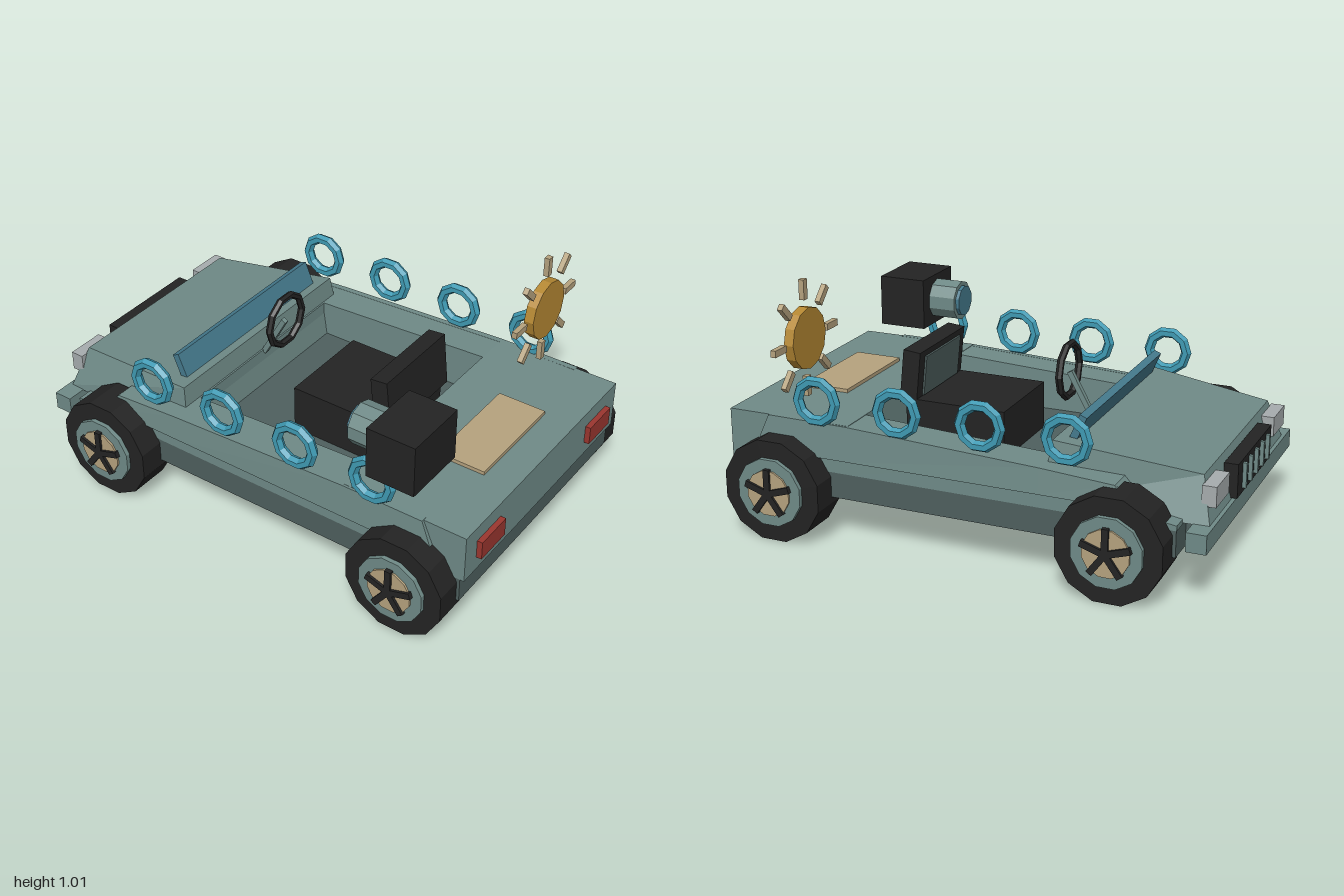
import * as THREE from 'three';

const mat = (name, color) => {
  const m = new THREE.MeshStandardMaterial({ color, flatShading: true });
  m.name = name;
  return m;
};

export function createModel() {
  const car = new THREE.Group();
  car.name = 'car';
  const body = mat('bodyTeal', 0x6f8a87);
  const dark = mat('darkTeal', 0x4e5f5e);
  const black = mat('black', 0x232323);
  const tan = mat('tan', 0xb5a27e);
  const gold = mat('gold', 0xb58833);
  const red = mat('tailRed', 0x9a362f);
  const cyan = mat('ringBlue', 0x3f9ab3);
  const blue = mat('glassBlue', 0x457a8d);
  const grey = mat('lampGrey', 0xa6acae);

  const add = (name, geo, material, parent = car) => {
    const m = new THREE.Mesh(geo, material);
    m.name = name;
    parent.add(m);
    return m;
  };
  // Box given by its limits on each axis
  const box = (name, material, [x0, x1], [y0, y1], [z0, z1], parent = car) => {
    const m = add(name, new THREE.BoxGeometry(x1 - x0, y1 - y0, z1 - z0), material, parent);
    m.position.set((x0 + x1) / 2, (y0 + y1) / 2, (z0 + z1) / 2);
    return m;
  };
  // Skin over convex loops, running from +z to -z, each counterclockwise seen from +z
  const loft = (loops) => {
    const p = [];
    const tri = (a, b, c) => p.push(...a, ...b, ...c);
    const n = loops[0].length, last = loops[loops.length - 1];
    for (let i = 0; i < loops.length - 1; i++) {
      for (let j = 0; j < n; j++) {
        const k = (j + 1) % n;
        const a = loops[i][j], b = loops[i][k], c = loops[i + 1][k], d = loops[i + 1][j];
        tri(a, d, c);
        tri(a, c, b);
      }
    }
    for (let j = 1; j < n - 1; j++) {
      tri(loops[0][0], loops[0][j], loops[0][j + 1]);
      tri(last[0], last[j + 1], last[j]);
    }
    const g = new THREE.BufferGeometry();
    g.setAttribute('position', new THREE.Float32BufferAttribute(p, 3));
    g.computeVertexNormals();
    return g;
  };
  // Symmetric section: half widths, heights and z of the bottom and top edges
  const section = (wb, yb, zb, wt, yt, zt) =>
    [[-wb, yb, zb], [wb, yb, zb], [wt, yt, zt], [-wt, yt, zt]];
  const mirrorLoop = (loop, s) =>
    s > 0 ? loop : loop.map(([x, y, z]) => [-x, y, z]).reverse();

  // Floor tub and upper body
  box('floorTub', dark, [-0.563, 0.563], [0.175, 0.29], [-0.86, 0.96]);
  box('rearDeck', body, [-0.565, 0.565], [0.28, 0.48], [0.455, 0.978]);
  add('nose', loft([
    section(0.565, 0.28, -0.335, 0.565, 0.44, -0.335),
    section(0.565, 0.28, -0.63, 0.565, 0.42, -0.63),
    section(0.565, 0.28, -0.72, 0.565, 0.32, -0.72),
    section(0.565, 0.28, -0.862, 0.565, 0.3, -0.862),
  ]), body);
  add('hood', loft([
    section(0.52, 0.288, -0.32, 0.49, 0.522, -0.355),
    section(0.5, 0.288, -0.963, 0.43, 0.455, -0.915),
  ]), body);
  for (const s of [1, -1]) {
    const rail = (z, top) =>
      mirrorLoop([[0.418, 0.28, z], [0.565, 0.28, z], [0.565, top, z], [0.418, top, z]], s);
    add('sideRail', loft([rail(0.455, 0.478), rail(-0.335, 0.44)]), body);
    // Slanted outer skin of the flank
    const skin = (zb, zt, top) =>
      mirrorLoop([[0.55, 0.34, zb], [0.585, 0.34, zb], [0.575, top, zt], [0.55, top, zt]], s);
    add('sidePanel', loft([
      skin(0.86, 0.8, 0.481), skin(0.46, 0.46, 0.479), skin(-0.335, -0.335, 0.441),
      skin(-0.69, -0.63, 0.421),
    ]), body);
  }

  // Bumper, grille and lamps
  box('frontBumper', body, [-0.583, 0.583], [0.215, 0.29], [-0.978, -0.9]);
  box('bumperMount', dark, [-0.45, 0.45], [0.225, 0.285], [-0.9, -0.86]);
  box('grille', black, [-0.23, 0.23], [0.295, 0.43], [-0.985, -0.93]);
  for (let i = -2; i <= 2; i++) {
    box('grilleBar', body, [i * 0.08 - 0.008, i * 0.08 + 0.008], [0.315, 0.415], [-1, -0.98]);
  }
  for (const s of [1, -1]) {
    const lamp = box('headlight', grey, [-0.08, 0.08], [0.35, 0.43], [-0.975, -0.92]);
    lamp.position.x = s * 0.39;
    const tail = box('tailLight', red, [-0.082, 0.082], [0.34, 0.417], [0.97, 1]);
    tail.position.x = s * 0.405;
  }
  box('deckPlate', tan, [-0.228, 0.225], [0.478, 0.495], [0.645, 0.847]);

  // Windscreen strip leaning forward
  const screen = add('windscreen', new THREE.BoxGeometry(0.845, 0.11, 0.03), blue);
  screen.position.set(0, 0.553, -0.427);
  screen.rotation.x = -0.4;

  // Seat
  box('seatCushion', black, [-0.203, 0.203], [0.29, 0.487], [-0.035, 0.39]);
  const back = new THREE.Group();
  back.name = 'seatBack';
  back.position.set(0, 0.575, 0.372);
  back.rotation.x = -0.1;
  car.add(back);
  box('backrest', black, [-0.203, 0.203], [-0.11, 0.11], [-0.037, 0.037], back);
  box('backrestPanel', dark, [-0.155, 0.155], [-0.08, 0.085], [-0.045, -0.036], back);

  // Steering wheel and column
  add('steeringWheel', new THREE.TorusGeometry(0.108, 0.015, 6, 10), black)
    .position.set(0, 0.625, -0.225);
  const from = new THREE.Vector3(0, 0.62, -0.23), to = new THREE.Vector3(0, 0.43, -0.335);
  const column = add('steeringColumn', new THREE.BoxGeometry(0.022, 0.022, from.distanceTo(to)), body);
  column.position.copy(from).add(to).multiplyScalar(0.5);
  column.lookAt(to);

  // Wheels
  const disc = (r, w) => new THREE.CylinderGeometry(r, r, w, 12)
    .rotateY(Math.PI / 12).rotateZ(Math.PI / 2);
  for (const s of [1, -1]) {
    for (const z of [0.743, -0.642]) {
      const wheel = new THREE.Group();
      wheel.name = 'wheel';
      wheel.position.set(s * 0.585, 0.205, z);
      car.add(wheel);
      add('tyre', disc(0.212, 0.168), black, wheel);
      add('rim', disc(0.14, 0.04), body, wheel).position.x = s * 0.082;
      add('hubDisc', disc(0.094, 0.02), tan, wheel).position.x = s * 0.1;
      for (let i = 0; i < 5; i++) {
        const spoke = new THREE.BoxGeometry(0.02, 0.1, 0.026).translate(s * 0.11, 0.05, 0)
          .rotateX(i * Math.PI * 2 / 5);
        add('wheelSpoke', spoke, black, wheel);
      }
    }
  }

  // Rings standing along both flanks
  for (const s of [1, -1]) {
    for (const z of [0.583, 0.241, -0.101, -0.443]) {
      const ring = add('sideRing', new THREE.TorusGeometry(0.081, 0.022, 6, 10), cyan);
      ring.rotation.y = Math.PI / 2;
      ring.position.set(s * 0.571, 0.565, z);
    }
  }

  // Camera-like box with a barrel pointing forward
  box('cameraBox', black, [-0.605, -0.332], [0.602, 0.815], [0.577, 0.78]);
  const barrel = (name, r, len, z, m) =>
    add(name, new THREE.CylinderGeometry(r, r, len, 10).rotateX(Math.PI / 2), m)
      .position.set(-0.468, 0.708, z);
  barrel('barrel', 0.085, 0.12, 0.52, body);
  barrel('lens', 0.066, 0.02, 0.455, blue);

  // Sun disc with eight rays
  const sun = new THREE.Group();
  sun.name = 'sun';
  sun.position.set(0.465, 0.777, 0.685);
  car.add(sun);
  add('sunDisc', new THREE.CylinderGeometry(0.123, 0.123, 0.04, 12).rotateX(Math.PI / 2), gold, sun);
  for (let i = 0; i < 8; i++) {
    add('sunRay', new THREE.BoxGeometry(0.027, 0.08, 0.022).translate(0, 0.193, 0)
      .rotateZ(i * Math.PI / 4), tan, sun);
  }
  return car;
}
